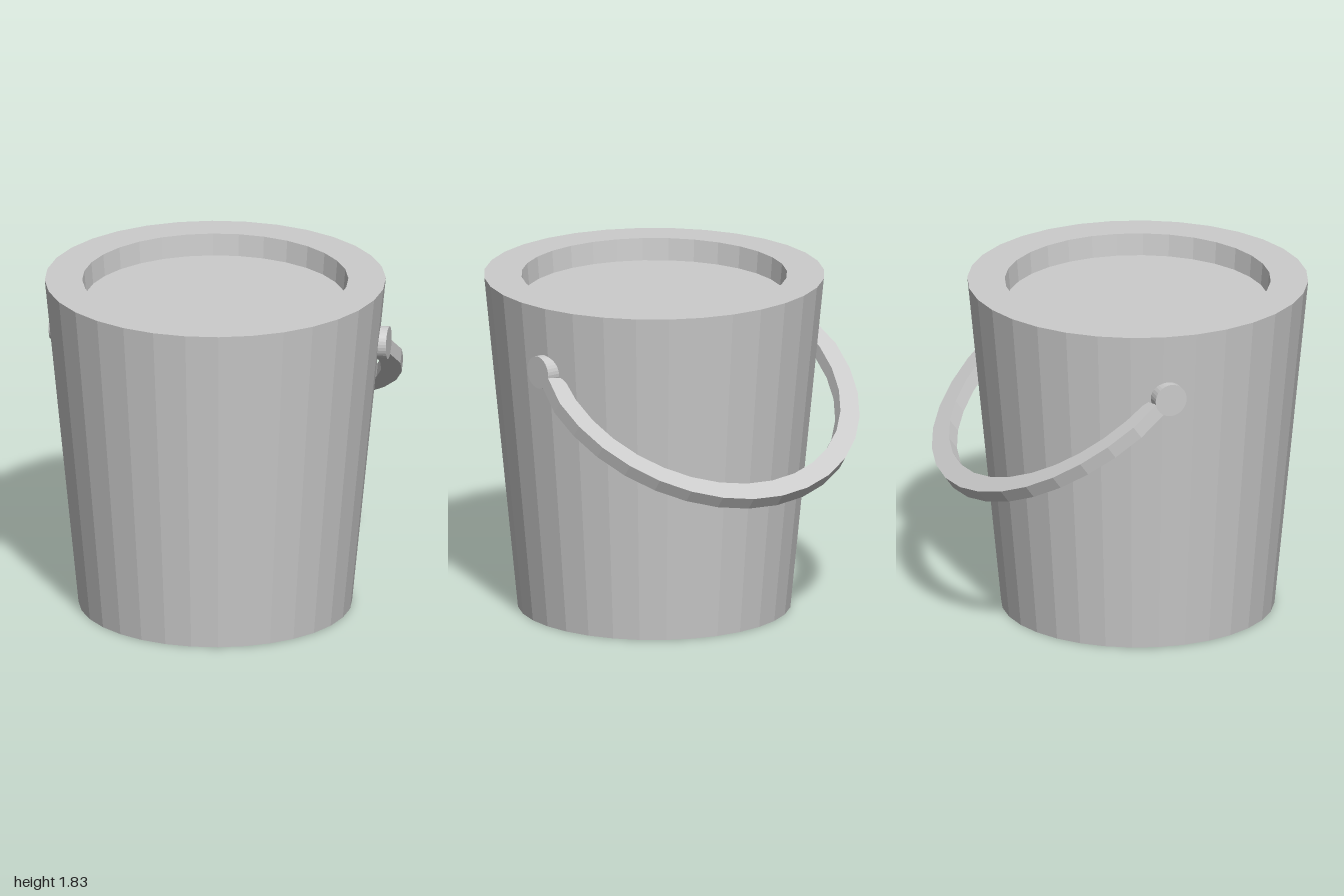
import * as THREE from 'three';

export function createModel() {
  const model = new THREE.Group();
  const grey = new THREE.MeshStandardMaterial({ color: 0xcccccc, flatShading: true });

  // Tapered body with a thick rim and a shallow recessed top
  const profile = [[0, 0], [0.73, 0], [0.91, 1.825], [0.71, 1.825], [0.7, 1.705], [0, 1.705]]
    .map(([r, y]) => new THREE.Vector2(r, y));
  const body = new THREE.Mesh(new THREE.LatheGeometry(profile, 32), grey);
  body.name = 'bucketBody';
  body.position.z = 0.09;
  model.add(body);

  // Handle assembly, centred on the pivot axis
  const handle = new THREE.Group();
  handle.name = 'handleAssembly';
  handle.position.set(0, 1.47, -0.055);
  model.add(handle);

  // Round pivots on both sides
  for (const side of [1, -1]) {
    const pivot = new THREE.Mesh(new THREE.CylinderGeometry(0.088, 0.088, 0.114, 32), grey);
    pivot.name = side > 0 ? 'leftPivot' : 'rightPivot';
    pivot.rotation.z = Math.PI / 2;
    pivot.position.x = side * 0.857;
    handle.add(pivot);
  }

  // Flat curved bail: a slightly oval arc strip, its ends tucked in behind the pivots
  const segments = 18, sweep = THREE.MathUtils.degToRad(101.25), thickness = 0.077;
  const arc = (radiusX, radiusY) => Array.from({ length: segments + 1 }, (_, i) => {
    const a = -sweep + (2 * sweep * i) / segments;
    const isEnd = i === 0 || i === segments;
    const x = radiusX * Math.sin(a);
    return new THREE.Vector2(
      isEnd ? THREE.MathUtils.clamp(x, -0.912, 0.912) : x,
      -0.25 - radiusY * Math.cos(a));
  });
  const shape = new THREE.Shape([...arc(0.945, 0.89), ...arc(0.835, 0.78).reverse()]);
  const bailGeometry = new THREE.ExtrudeGeometry(shape, { depth: thickness, bevelEnabled: false });
  bailGeometry.translate(0, 0, -thickness / 2);
  const bail = new THREE.Mesh(bailGeometry, grey);
  bail.name = 'bail';
  bail.rotation.x = THREE.MathUtils.degToRad(54.2);
  handle.add(bail);

  return model;
}
